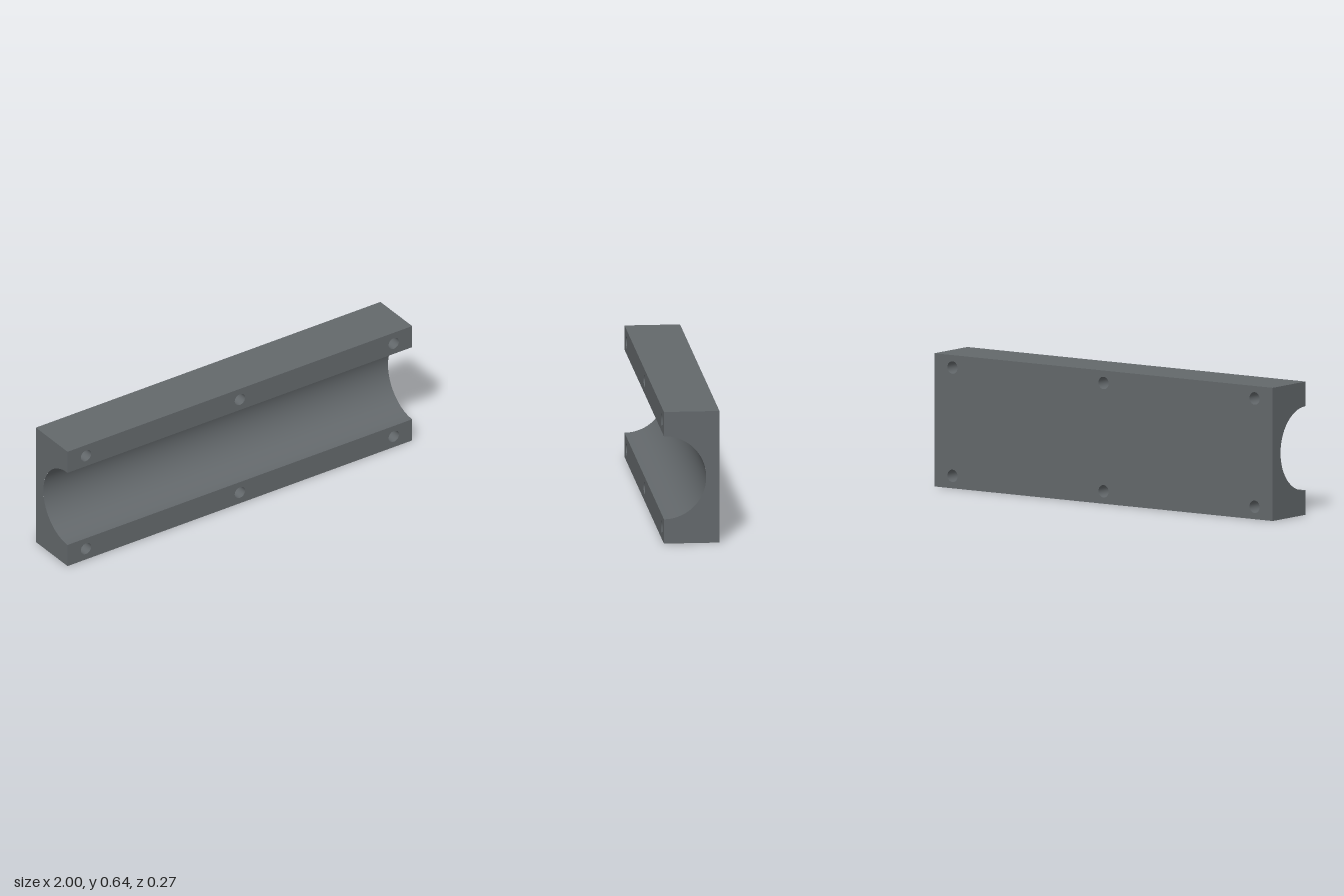
import * as THREE from 'three';

const H = 0.642;            // height
const D = 0.133;            // half depth
const C = H / 2;            // groove centre height
const R = 0.2025;           // groove radius
const LIP = C - R;          // height of each front flange
const HOLE_R = 0.03;
const HOLE_X = [-0.893, 0, 0.893];
const HOLE_Y = [0.06, H - 0.06];

// Rectangle spanning the full length, with bolt holes at the given heights
function plate(y0, y1, holeYs) {
  const s = new THREE.Shape();
  s.moveTo(-1, y0).lineTo(1, y0).lineTo(1, y1).lineTo(-1, y1).closePath();
  for (const y of holeYs) for (const x of HOLE_X) {
    s.holes.push(new THREE.Path().absarc(x, y, HOLE_R, 0, Math.PI * 2, true));
  }
  return new THREE.ShapeGeometry(s, 16);
}

// Turn a surface inside out so it faces the hollow
function inward(g) {
  const i = g.index.array;
  for (let k = 0; k < i.length; k += 3) [i[k], i[k + 1]] = [i[k + 1], i[k]];
  const n = g.attributes.normal.array;
  for (let k = 0; k < n.length; k++) n[k] = -n[k];
  return g;
}

// End profile; the groove opens towards side * x
function endProfile(side) {
  const f = side * D;
  const s = new THREE.Shape();
  s.moveTo(f, 0).lineTo(-f, 0).lineTo(-f, H).lineTo(f, H).lineTo(f, C + R);
  s.absarc(f, C, R, Math.PI / 2, side > 0 ? Math.PI * 1.5 : -Math.PI / 2, side < 0);
  s.closePath();
  return new THREE.ShapeGeometry(s, 48);
}

export function createModel() {
  const group = new THREE.Group();
  const grey = new THREE.MeshStandardMaterial({ color: 0x63686b });
  grey.name = 'darkGrey';
  const add = (name, geometry) => {
    const m = new THREE.Mesh(geometry, grey);
    m.name = name;
    group.add(m);
  };

  // Drilled front flanges and back
  add('lowerFlange', plate(0, LIP, [HOLE_Y[0]]).translate(0, 0, D));
  add('upperFlange', plate(H - LIP, H, [HOLE_Y[1]]).translate(0, 0, D));
  add('back', plate(0, H, HOLE_Y).rotateY(Math.PI).translate(0, 0, -D));

  // Top and bottom
  add('top', new THREE.PlaneGeometry(2, 2 * D).rotateX(-Math.PI / 2).translate(0, H, 0));
  add('bottom', new THREE.PlaneGeometry(2, 2 * D).rotateX(Math.PI / 2));

  // Ends with the half-round cutout
  add('leftEnd', endProfile(-1).rotateY(Math.PI / 2).translate(1, 0, 0));
  add('rightEnd', endProfile(1).rotateY(-Math.PI / 2).translate(-1, 0, 0));

  // Half-round groove running the full length
  const groove = new THREE.CylinderGeometry(R, R, 2, 48, 1, true, Math.PI / 2, Math.PI);
  add('groove', inward(groove.rotateZ(Math.PI / 2).translate(0, C, D)));

  // Walls of the six bolt holes
  for (const y of HOLE_Y) for (const x of HOLE_X) {
    const wall = new THREE.CylinderGeometry(HOLE_R, HOLE_R, 2 * D, 32, 1, true);
    add('boltHole', inward(wall.rotateX(Math.PI / 2).translate(x, y, 0)));
  }
  return group;
}
